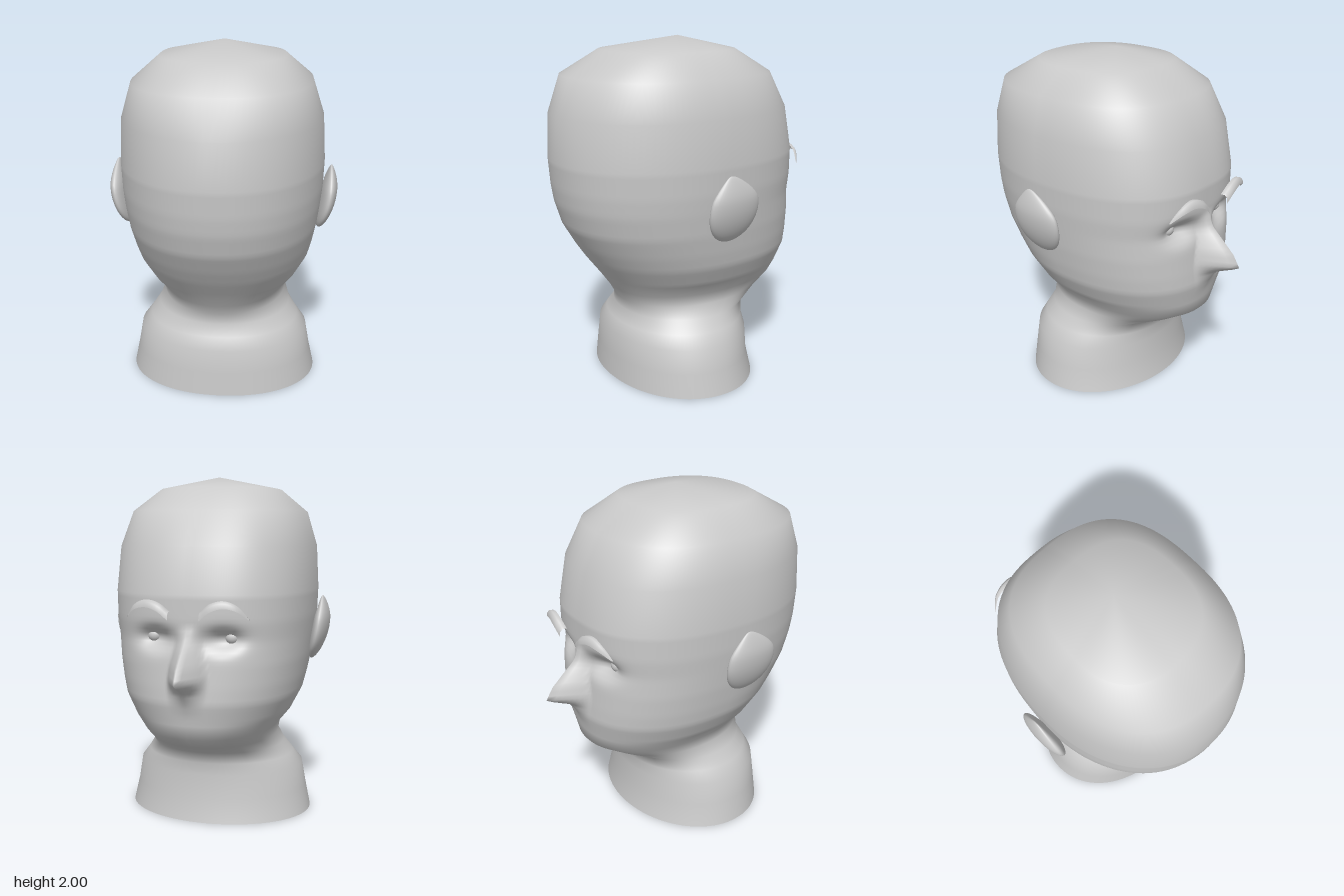
import * as THREE from 'three';

const skin = new THREE.MeshStandardMaterial({ color: 0xcacaca, side: THREE.DoubleSide });
skin.name = 'plain grey';

// Piecewise linear lookup in rows sorted by their first value
function lookup(rows, y) {
  let i = 1;
  while (i < rows.length - 1 && rows[i][0] < y) i++;
  const a = rows[i - 1], b = rows[i];
  const t = THREE.MathUtils.clamp((y - a[0]) / (b[0] - a[0]), 0, 1);
  return a.map((v, k) => v + (b[k] - v) * t);
}

// Skin over a list of equal-length rings or strips
function loft(rings, closed, apex) {
  const n = rings[0].length, pos = rings.flat(2), index = [];
  for (let i = 0; i < rings.length - 1; i++) {
    for (let j = 0; j < (closed ? n : n - 1); j++) {
      const k = (j + 1) % n, a = i * n, b = a + n;
      index.push(a + j, b + j, a + k, b + j, b + k, a + k);
    }
  }
  if (apex) {
    const base = (rings.length - 1) * n;
    pos.push(...apex);
    for (let j = 0; j < n; j++) index.push(base + j, base + n, base + (j + 1) % n);
  }
  const g = new THREE.BufferGeometry();
  g.setAttribute('position', new THREE.Float32BufferAttribute(pos, 3));
  g.setIndex(index);
  g.computeVertexNormals();
  return g;
}

// Height, face-side z, back z, half width, squareness of the face side
const SECTIONS = [
  [0, -0.34, 0.53, 0.56, 2], [0.14, -0.31, 0.52, 0.53, 2], [0.28, -0.31, 0.51, 0.505, 2],
  [0.35, -0.305, 0.475, 0.45, 2], [0.42, -0.335, 0.44, 0.4, 2], [0.49, -0.48, 0.455, 0.37, 2.1],
  [0.56, -0.585, 0.495, 0.385, 2.2], [0.64, -0.6, 0.55, 0.45, 2.2], [0.76, -0.625, 0.64, 0.51, 2.3],
  [0.85, -0.62, 0.7, 0.53, 2.4], [0.97, -0.61, 0.77, 0.55, 2.5], [1.1, -0.6, 0.81, 0.565, 2.5],
  [1.2, -0.61, 0.825, 0.575, 2.5], [1.35, -0.61, 0.835, 0.58, 2.5], [1.6, -0.56, 0.82, 0.565, 2.5],
  [1.8, -0.45, 0.73, 0.5, 2.6], [1.93, -0.24, 0.5, 0.35, 2.6],
];
// Height, projection and half width of the nose
const NOSE = [
  [0.7, 0, 0.1], [0.76, 0.01, 0.1], [0.83, 0.06, 0.11], [0.9, 0.215, 0.11],
  [0.97, 0.18, 0.1], [1.04, 0.11, 0.08], [1.1, 0.045, 0.07], [1.18, 0, 0.07],
];

function headGeometry() {
  const COLS = 160;
  const heights = SECTIONS.map((s) => s[0]).filter((y) => y < 0.65 || y > 1.32);
  for (let y = 0.67; y < 1.33; y += 0.0233) heights.push(y);
  heights.sort((a, b) => a - b);

  const rings = heights.map((y) => {
    const [, front, back, width, square] = lookup(SECTIONS, y);
    const [, depth, noseWidth] = lookup(NOSE, y);
    const mid = (front + back) / 2, half = (back - front) / 2;
    const ring = [];
    for (let j = 0; j < COLS; j++) {
      const t = (j / COLS) * Math.PI * 2;
      const a = t - 0.5 * Math.sin(t); // columns gather at the face
      const s = Math.sin(a), c = -Math.cos(a);
      const e = 2 / (c < 0 ? square : y > 1.7 ? 2.4 : 2.1);
      const x = width * Math.sign(s) * Math.abs(s) ** e;
      let z = mid + half * Math.sign(c) * Math.abs(c) ** e;
      if (c < 0) {
        // nose ridge and eye sockets
        z -= depth * Math.max(0, 1 - Math.abs(x) / noseWidth);
        z += 0.075 * Math.exp(-(((Math.abs(x) - 0.19) / 0.1) ** 2) - ((y - 1.11) / 0.055) ** 2);
      }
      ring.push([x, y, z]);
    }
    return ring;
  });
  return loft(rings, true, [0, 2, 0.05]);
}

// Flattened egg, pointed at the top and leaning outwards
function earGeometry() {
  const g = new THREE.SphereGeometry(1, 32, 24), p = g.attributes.position;
  for (let i = 0; i < p.count; i++) {
    const v = p.getY(i);
    const taper = v > 0.3 ? 1 - 0.45 * ((v - 0.3) / 0.7) ** 1.5 : 1;
    p.setXYZ(i,
      0.608 + 0.046 * p.getX(i) * taper + 0.032 * v - 0.02 * v * v,
      1.115 + 0.185 * v + 0.01 * Math.max(0, v),
      0.117 + 0.163 * p.getZ(i) * taper + 0.03 * Math.max(0, v) ** 3);
  }
  g.computeVertexNormals();
  return g;
}

// Arched, thin shell that tapers at its outer end
function browGeometry(side) {
  const arch = new THREE.CatmullRomCurve3([
    [0.085, 1.24, -0.675], [0.14, 1.285, -0.68], [0.21, 1.305, -0.67],
    [0.28, 1.285, -0.65], [0.34, 1.225, -0.6],
  ].map((q) => new THREE.Vector3(...q)));
  const strips = [];
  for (let i = 0; i <= 20; i++) {
    const t = i / 20, p = arch.getPoint(t);
    const w = 1 - 0.9 * t ** 3;
    strips.push([
      [side * p.x, p.y - 0.02 * w, p.z],
      [side * p.x, p.y + 0.01 * w, p.z + 0.003],
      [side * p.x, p.y + 0.025 * w, p.z + 0.02 * w],
      [side * p.x, p.y + 0.022 * w, p.z + 0.045 * w],
    ]);
  }
  return loft(strips, false);
}

export function createModel() {
  const group = new THREE.Group();
  group.name = 'bust';
  const add = (name, geometry) => {
    const mesh = new THREE.Mesh(geometry, skin);
    mesh.name = name;
    group.add(mesh);
    return mesh;
  };

  add('headAndNeck', headGeometry());
  for (const [label, side] of [['left', 1], ['right', -1]]) {
    const ear = add(label + 'Ear', earGeometry());
    if (side < 0) {
      ear.rotation.y = Math.PI;
      ear.position.z = 0.245;
    }
    add(label + 'Eyebrow', browGeometry(side));
    // eyeball, almost fully sunk in its socket
    add(label + 'Eye', new THREE.SphereGeometry(0.04, 16, 12)).position.set(side * 0.22, 1.12, -0.49);
  }
  return group;
}
